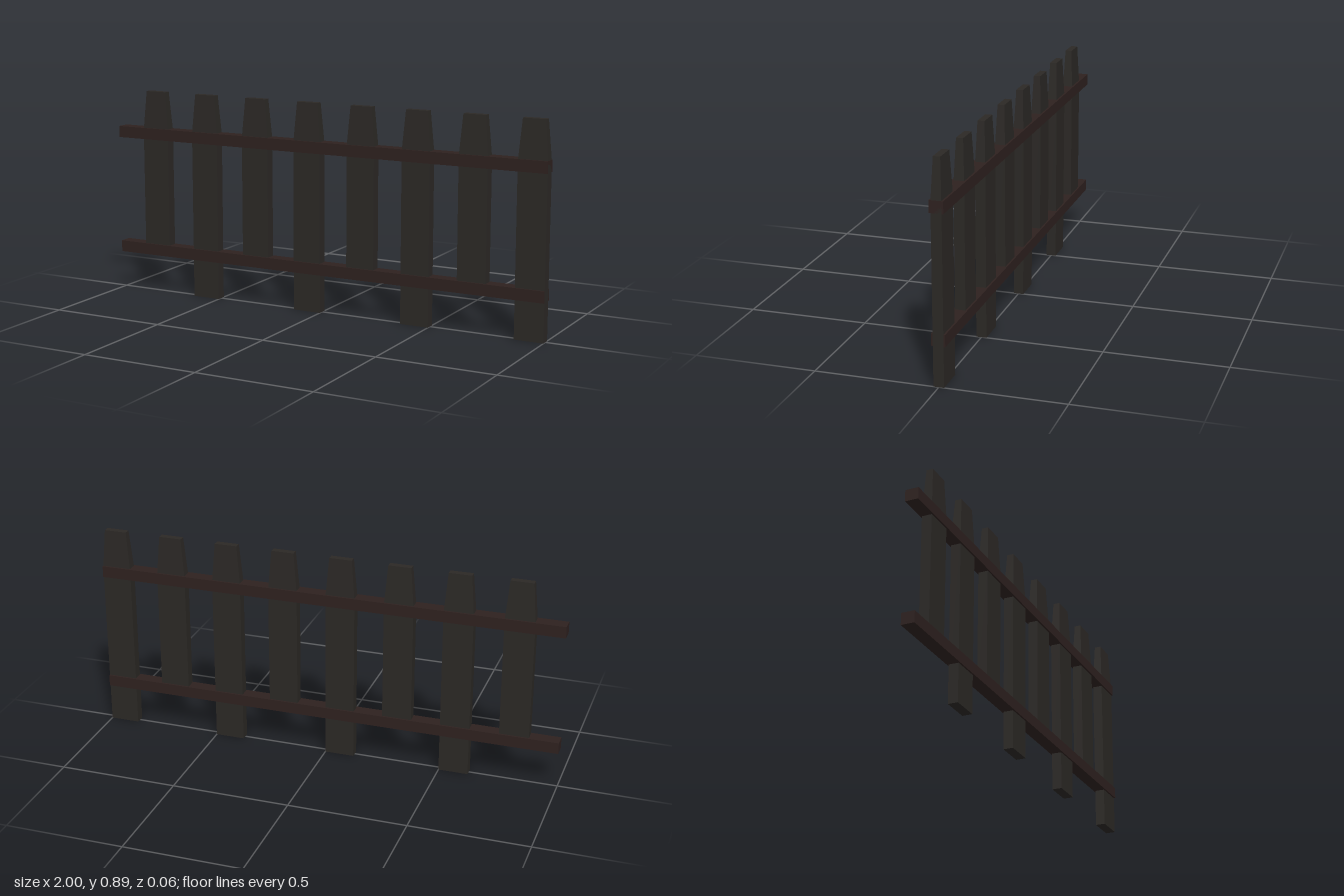
import * as THREE from 'three';

const SHOULDER = 0.72, TOP = 0.89;
const WIDTH = 0.125, DEPTH = 0.042;

// Straight board from the given bottom, tapering on all sides above the shoulder
function picketGeometry(bottom) {
  const geo = new THREE.BoxGeometry(WIDTH, 2, DEPTH, 1, 2, 1);
  const pos = geo.attributes.position;
  for (let i = 0; i < pos.count; i++) {
    const y = pos.getY(i);
    if (y > 0.5) {
      pos.setXYZ(i, pos.getX(i) * 0.77, TOP, pos.getZ(i) * 0.67);
    } else {
      pos.setY(i, y < -0.5 ? bottom : SHOULDER);
    }
  }
  geo.computeVertexNormals();
  return geo;
}

export function createModel() {
  const fence = new THREE.Group();
  fence.name = 'picketFence';
  const picketMat = new THREE.MeshStandardMaterial({ color: 0x2b2825, flatShading: true });
  const railMat = new THREE.MeshStandardMaterial({ color: 0x2e211f, flatShading: true });

  // Pickets: every second one reaches the ground, the others end in the lower rail
  const longGeo = picketGeometry(0);
  const shortGeo = picketGeometry(0.18);
  for (let i = 0; i < 8; i++) {
    const isPost = i % 2 === 1;
    const picket = new THREE.Mesh(isPost ? longGeo : shortGeo, picketMat);
    picket.name = isPost ? 'longPicket' : 'shortPicket';
    picket.position.x = -0.8125 + i * 0.25;
    fence.add(picket);
  }

  // Horizontal rails enclosing the pickets
  const railGeo = new THREE.BoxGeometry(2, 0.049, 0.056);
  for (const [name, y] of [['lowerRail', 0.188], ['upperRail', 0.704]]) {
    const rail = new THREE.Mesh(railGeo, railMat);
    rail.name = name;
    rail.position.y = y;
    fence.add(rail);
  }
  return fence;
}
